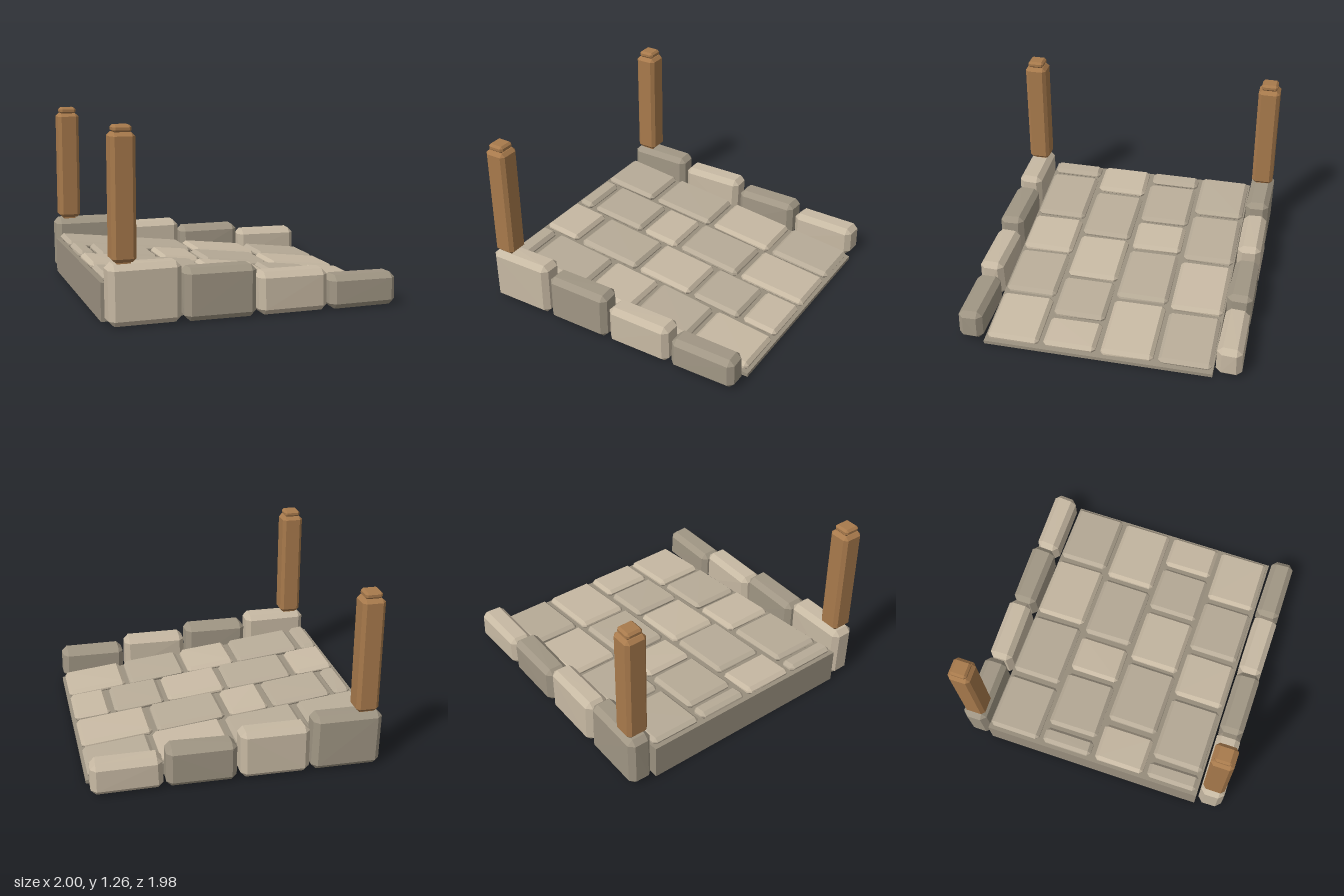
import * as THREE from 'three';
import { ConvexGeometry } from 'three/addons/geometries/ConvexGeometry.js';

const mat = (color) => new THREE.MeshStandardMaterial({ color, flatShading: true });
const stoneLight = mat(0xc7b9a3), stoneMid = mat(0xb8ac98), stoneDark = mat(0xa09684);
const mortar = mat(0x9a907f), wood = mat(0xa87a4c);

// Small seeded generator for the hand-cut look
let seed = 7;
const jitter = (a) => {
  seed = (seed * 16807) % 2147483647;
  return (seed / 2147483647 - 0.5) * 2 * a;
};

// Box with every edge chamfered and each corner nudged inwards a little
function chamferBox(w, h, d, c, wobble = 0) {
  const pts = [];
  for (const sx of [-1, 1]) for (const sy of [-1, 1]) for (const sz of [-1, 1]) {
    const x = w / 2 - Math.abs(jitter(wobble));
    const y = h / 2 - Math.abs(jitter(wobble * 0.6));
    const z = d / 2 - Math.abs(jitter(wobble));
    pts.push(
      new THREE.Vector3(sx * x, sy * (y - c), sz * (z - c)),
      new THREE.Vector3(sx * (x - c), sy * y, sz * (z - c)),
      new THREE.Vector3(sx * (x - c), sy * (y - c), sz * z));
  }
  return new ConvexGeometry(pts);
}

function add(group, name, geometry, material, x = 0, y = 0, z = 0) {
  const mesh = new THREE.Mesh(geometry, material);
  mesh.name = name;
  mesh.position.set(x, y, z);
  group.add(mesh);
  return mesh;
}

export function createModel() {
  const model = new THREE.Group();
  model.name = 'stoneRamp';

  // Wedge-shaped bed, high at -x and low at +x
  const high = 0.255, low = 0.025, slope = (high - low) / 2;
  const bedTop = (x) => low + slope * (1 - x);
  const side = new THREE.Shape([
    new THREE.Vector2(-1, 0), new THREE.Vector2(1, 0),
    new THREE.Vector2(1, low), new THREE.Vector2(-1, high)]);
  const bed = new THREE.ExtrudeGeometry(side, { depth: 1.6, bevelEnabled: false });
  add(model, 'rampBed', bed, mortar, 0, 0, -0.8);

  // Paving stones: [x start, x end, light?] for each row
  const rows = [
    { z: -0.605, stones: [[-0.98, -0.55, 0], [-0.52, -0.03, 0], [0, 0.49, 1], [0.515, 0.985, 0]] },
    { z: -0.205, stones: [[-0.98, -0.855, 0], [-0.83, -0.395, 0], [-0.37, -0.08, 1], [-0.05, 0.445, 0], [0.47, 0.985, 1]] },
    { z: 0.198, stones: [[-0.98, -0.69, 1], [-0.66, -0.165, 0], [-0.145, 0.29, 1], [0.315, 0.69, 0], [0.715, 0.985, 1]] },
    { z: 0.598, stones: [[-0.98, -0.855, 0], [-0.83, -0.335, 0], [-0.31, 0.06, 1], [0.085, 0.52, 0], [0.545, 0.985, 1]] },
  ];
  const paving = new THREE.Group();
  paving.name = 'paving';
  model.add(paving);
  for (const { z, stones } of rows) for (const [x0, x1, light] of stones) {
    const x = (x0 + x1) / 2;
    const geo = chamferBox(x1 - x0, 0.064, 0.375, 0.024, 0.006);
    const stone = add(paving, 'pavingStone', geo, light ? stoneLight : stoneMid, x, bedTop(x) + 0.018, z);
    stone.rotation.z = -Math.atan(slope);
  }

  // Stepped kerb blocks and a wooden post on each long side
  const heights = [0.4, 0.345, 0.285, 0.23];
  for (const s of [1, -1]) {
    const kerb = new THREE.Group();
    kerb.name = s > 0 ? 'frontKerb' : 'backKerb';
    model.add(kerb);
    heights.forEach((h, i) => {
      const light = (i % 2 === 0) === (s > 0);
      const geo = chamferBox(0.485, h, 0.182, 0.037, 0.008);
      add(kerb, 'kerbBlock', geo, light ? stoneLight : stoneDark, -0.75 + i * 0.498, h / 2, s * 0.902);
    });

    const post = new THREE.Group();
    post.name = s > 0 ? 'frontPost' : 'backPost';
    post.position.set(-0.882, 0, s * 0.903);
    model.add(post);
    add(post, 'postShaft', chamferBox(0.158, 0.805, 0.158, 0.024), wood, 0, 0.81);
    add(post, 'postFoot', new THREE.BoxGeometry(0.09, 0.04, 0.09), wood, 0, 0.405);
    add(post, 'postCap', chamferBox(0.118, 0.048, 0.118, 0.015), wood, 0, 1.233);
  }
  return model;
}
